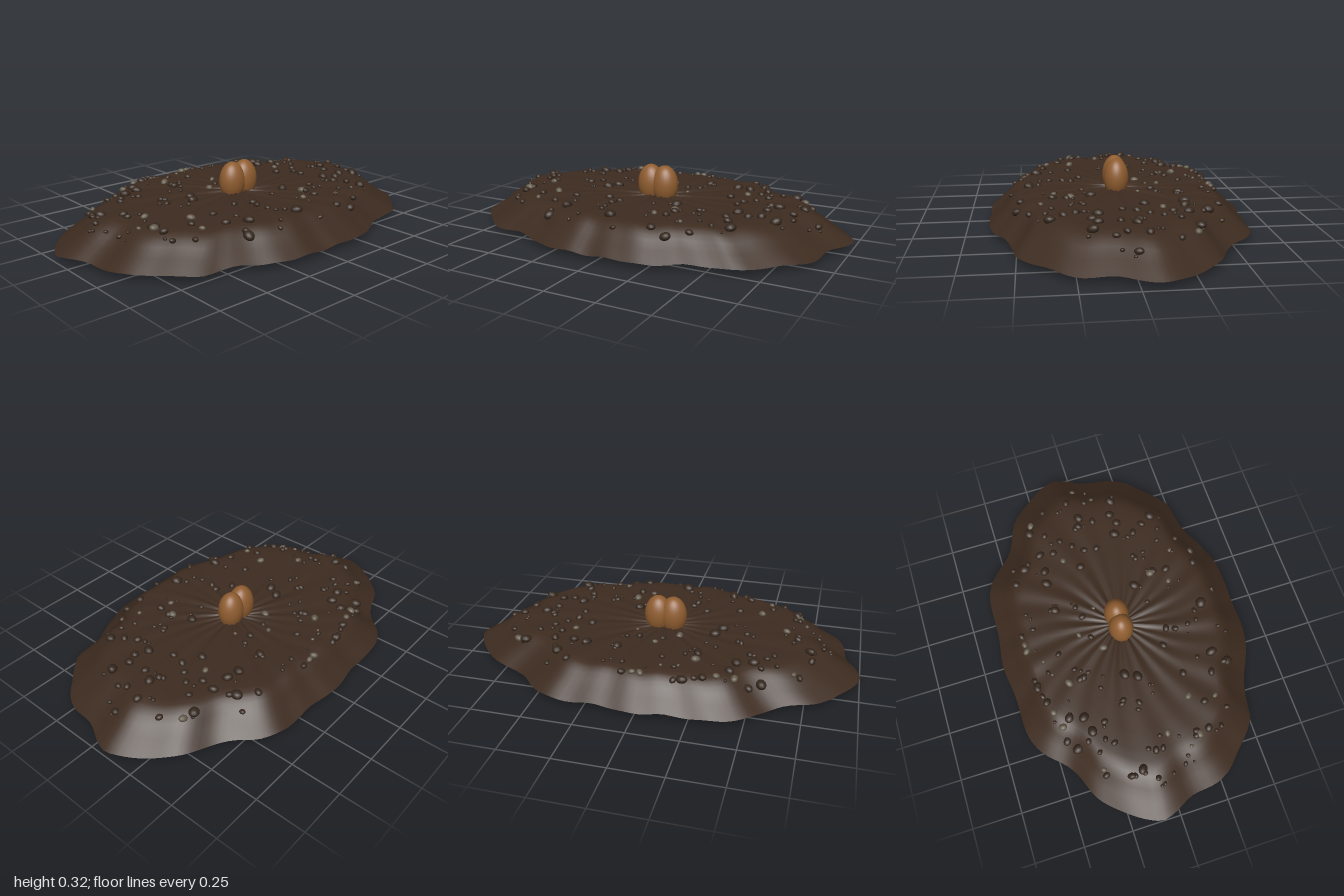
import * as THREE from 'three';

const mat = (name, color, side = THREE.FrontSide) => {
  const m = new THREE.MeshStandardMaterial({ color, side });
  m.name = name;
  return m;
};

// Small repeatable random generator
function seeded(seed) {
  return () => {
    seed = (seed * 1664525 + 1013904223) % 4294967296;
    return seed / 4294967296;
  };
}

// Scalloped rim: one half as [x, z], mirrored to the other side
const HALF = [
  [0, -0.645], [0.17, -0.625], [0.4, -0.615], [0.5, -0.57], [0.6, -0.47], [0.66, -0.43],
  [0.8, -0.37], [0.9, -0.27], [0.97, -0.17], [1, -0.09], [0.98, -0.02], [0.93, 0.08],
  [0.92, 0.15], [0.91, 0.22], [0.87, 0.3], [0.8, 0.37], [0.72, 0.45], [0.65, 0.5],
  [0.55, 0.515], [0.45, 0.54], [0.35, 0.59], [0.23, 0.632], [0, 0.638],
];
const SEGS = 144;
function rimPoints() {
  const right = HALF.map(([x, z]) => new THREE.Vector3(x, 0, z));
  const left = HALF.slice(1, -1).reverse().map(([x, z]) => new THREE.Vector3(-x, 0, z));
  return new THREE.CatmullRomCurve3([...right, ...left], true).getSpacedPoints(SEGS).slice(0, SEGS);
}

// Height from centre (u = 0) to rim (u = 1)
const PROFILE = [[0, 0.168], [0.3, 0.172], [0.7, 0.172], [0.77, 0.166], [0.82, 0.147], [0.89, 0.1], [1, 0.036]];
function height(u, a) {
  let i = 1;
  while (i < PROFILE.length - 1 && u > PROFILE[i][0]) i++;
  const [u0, y0] = PROFILE[i - 1], [u1, y1] = PROFILE[i];
  const y = y0 + (y1 - y0) * Math.min(1, (u - u0) / (u1 - u0));
  const creases = Math.sin(17 * a) * Math.cos(6 * a + 1) * 0.007 * Math.max(0, 1 - u * 1.6);
  const ripple = (Math.sin(23 * a + 5 * u) + Math.sin(14 * a + 1)) * 0.003 * u;
  return y + creases + ripple;
}

// Open soil shell made of scaled rim rings
function moundGeometry(rim) {
  const us = [0.015, 0.06, 0.12, 0.2, 0.3, 0.4, 0.5, 0.6, 0.68, 0.73, 0.77, 0.8, 0.83, 0.86, 0.89, 0.92, 0.96, 1];
  const pos = [], index = [];
  us.forEach((u, i) => rim.forEach((p, j) => {
    pos.push(p.x * u, height(u, Math.atan2(p.z, p.x)), p.z * u);
    if (i === us.length - 1) return;
    const a = i * SEGS + j, c = i * SEGS + (j + 1) % SEGS;
    index.push(a, c, a + SEGS, c, c + SEGS, a + SEGS);
  }));
  const g = new THREE.BufferGeometry();
  g.setAttribute('position', new THREE.Float32BufferAttribute(pos, 3));
  g.setIndex(index);
  g.computeVertexNormals();
  return g;
}

export function createModel() {
  const model = new THREE.Group();
  model.name = 'seedInSoil';
  const soil = mat('soil', 0x3d2b1f, THREE.DoubleSide);
  const clod = mat('darkClod', 0x35271d);
  const stone = mat('greyStone', 0x625a4b);
  const shell = mat('seedShell', 0x8f5d30);
  const rand = seeded(77);
  const rim = rimPoints();

  const mound = new THREE.Mesh(moundGeometry(rim), soil);
  mound.name = 'soilMound';
  model.add(mound);

  // Seed: two overlapping halves
  const seed = new THREE.Group();
  seed.name = 'seed';
  for (const s of [-1, 1]) {
    const half = new THREE.Mesh(new THREE.SphereGeometry(1, 32, 24), shell);
    half.name = s > 0 ? 'leftSeedHalf' : 'rightSeedHalf';
    half.scale.set(0.07, 0.101, 0.063);
    half.position.set(s * 0.04, 0.223, -0.005);
    seed.add(half);
  }
  model.add(seed);

  // Pebbles and clods
  const pebbles = new THREE.Group();
  pebbles.name = 'pebbles';
  model.add(pebbles);
  const pebbleGeo = new THREE.SphereGeometry(1, 12, 8);
  const addPebble = (x, y, z, r, material) => {
    const p = new THREE.Mesh(pebbleGeo, material);
    p.name = material === stone ? 'stone' : 'clod';
    p.scale.set(r, r * 0.7, r * (0.7 + rand() * 0.2));
    p.rotation.set((rand() - 0.5) * 0.6, rand() * Math.PI * 2, (rand() - 0.5) * 0.6);
    p.position.set(x, y, z);
    pebbles.add(p);
  };
  const rimAngles = rim.map((p) => Math.atan2(p.z, p.x));
  const onSoil = (x, z) => {
    const a = Math.atan2(z, x);
    let best = 0;
    rimAngles.forEach((b, j) => {
      if (Math.cos(b - a) > Math.cos(rimAngles[best] - a)) best = j;
    });
    return height(Math.hypot(x, z) / rim[best].length(), a);
  };

  // Larger ones
  const large = [
    [-0.2, -0.5], [0.17, -0.3], [0.33, -0.3], [0.4, -0.29], [0.45, -0.39], [0.5, -0.29],
    [0.65, -0.31], [0.18, 0.14], [0.5, 0.13], [0.62, 0.14], [0.7, 0.17], [0.3, 0.5],
    [-0.02, 0.44], [-0.29, 0.4], [-0.3, 0], [-0.5, -0.3], [-0.42, -0.32], [-0.4, -0.39],
    [-0.75, -0.12], [-0.55, -0.39], [0.65, -0.03], [-0.35, 0.47], [0.55, 0.35], [-0.27, -0.06],
  ];
  large.forEach(([x, z]) => addPebble(x, onSoil(x, z) + 0.004, z, 0.025 + rand() * 0.006, clod));
  const grey = [
    [0, -0.5], [0.43, -0.18], [-0.51, 0.34], [-0.62, 0.05], [-0.23, -0.34], [0.15, 0.32],
    [-0.67, 0.2], [0, -0.22], [-0.1, -0.12], [-0.69, -0.3], [0.7, -0.29], [0.22, 0.24],
  ];
  grey.forEach(([x, z]) => addPebble(x, onSoil(x, z) + 0.004, z, 0.015 + rand() * 0.011, stone));

  // Scattered small ones
  for (let i = 0; i < 140; i++) {
    const a = rand() * Math.PI * 2, r = 0.2 + 0.72 * Math.sqrt(rand());
    const x = Math.cos(a) * r * 0.94, z = Math.sin(a) * r * 0.59;
    addPebble(x, onSoil(x, z) + 0.003, z, 0.008 + rand() * 0.016, rand() < 0.08 ? stone : clod);
  }

  // Loose clods hanging under the rim
  addPebble(0.855, 0.02, -0.24, 0.027, clod);
  addPebble(-0.17, 0.026, -0.6, 0.018, clod);

  // Rest the lowest clod on the ground
  const low = new THREE.Box3().setFromObject(model, true).min.y;
  model.children.forEach((c) => { c.position.y -= low; });
  return model;
}
